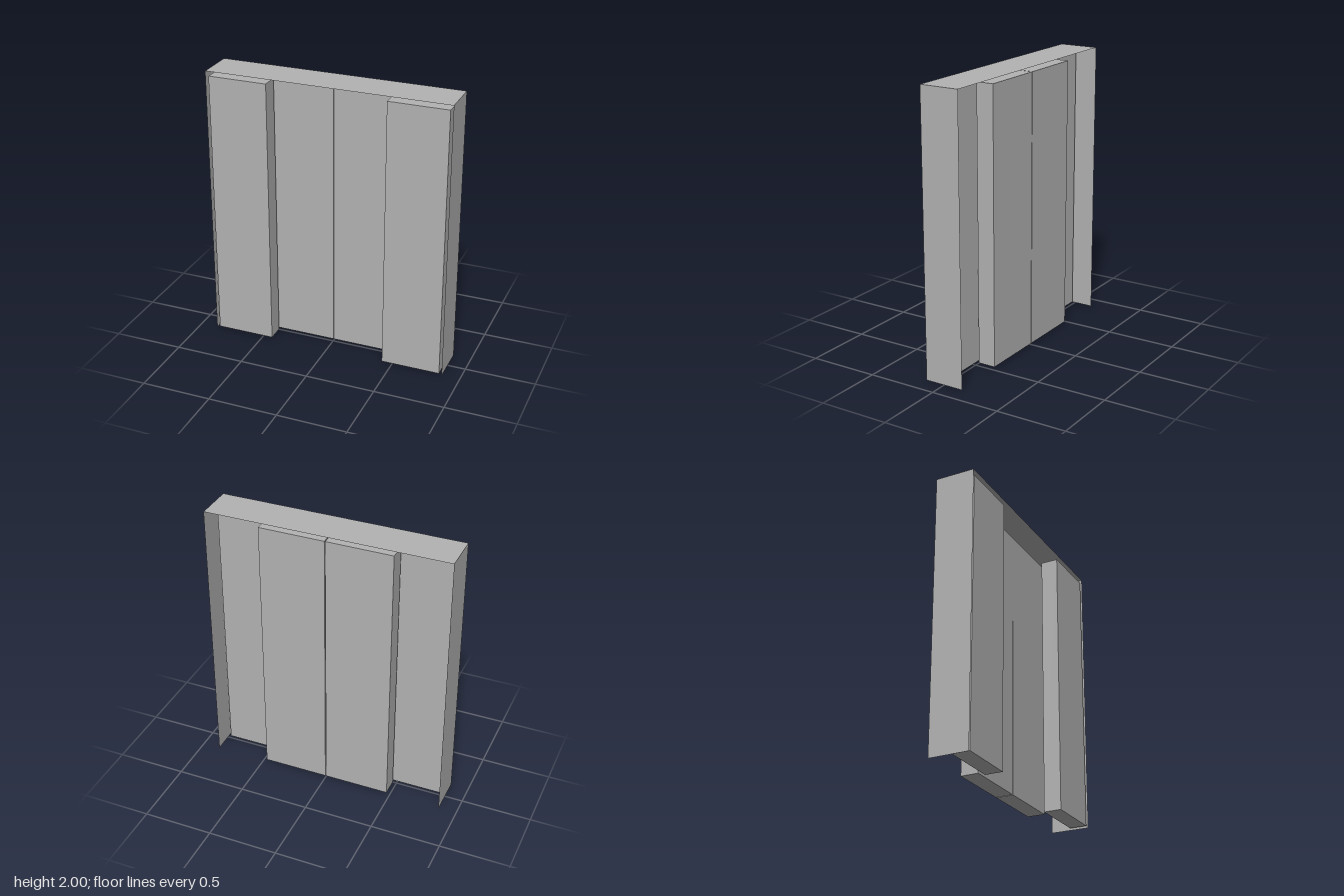
import * as THREE from 'three';

export function createModel() {
  const model = new THREE.Group();
  model.name = 'slidingDoorUnit';

  const grey = new THREE.MeshStandardMaterial({ color: 0xb2b2b2, side: THREE.DoubleSide });
  grey.name = 'plain grey';

  const W = 0.87, H = 2, D = 0.285;
  const add = (name, geometry, x, y, z) => {
    const mesh = new THREE.Mesh(geometry, grey);
    mesh.name = name;
    mesh.position.set(x, y, z);
    model.add(mesh);
    return mesh;
  };

  // Thin lining of the opening: a top and two sides, open elsewhere
  add('topLining', new THREE.PlaneGeometry(2 * W, D), 0, H, 0).rotation.x = -Math.PI / 2;

  // Sliding panels: outer pair on the front track, wider inner pair behind
  const bottom = 0.01, top = 1.965, thick = 0.126, trackZ = 0.0745;
  const panel = (name, side, x0, x1, z) =>
    add(name, new THREE.BoxGeometry(x1 - x0, top - bottom, thick),
      side * (x0 + x1) / 2, (top + bottom) / 2, z);

  for (const side of [1, -1]) {
    const label = side > 0 ? 'left' : 'right';
    add(label + 'SideLining', new THREE.PlaneGeometry(D, H), side * W, H / 2, 0)
      .rotation.y = side * Math.PI / 2;
    panel(label + 'OuterPanel', side, 0.426, 0.849, trackZ);
    panel(label + 'InnerPanel', side, 0.003, 0.475, -trackZ);
  }
  return model;
}
